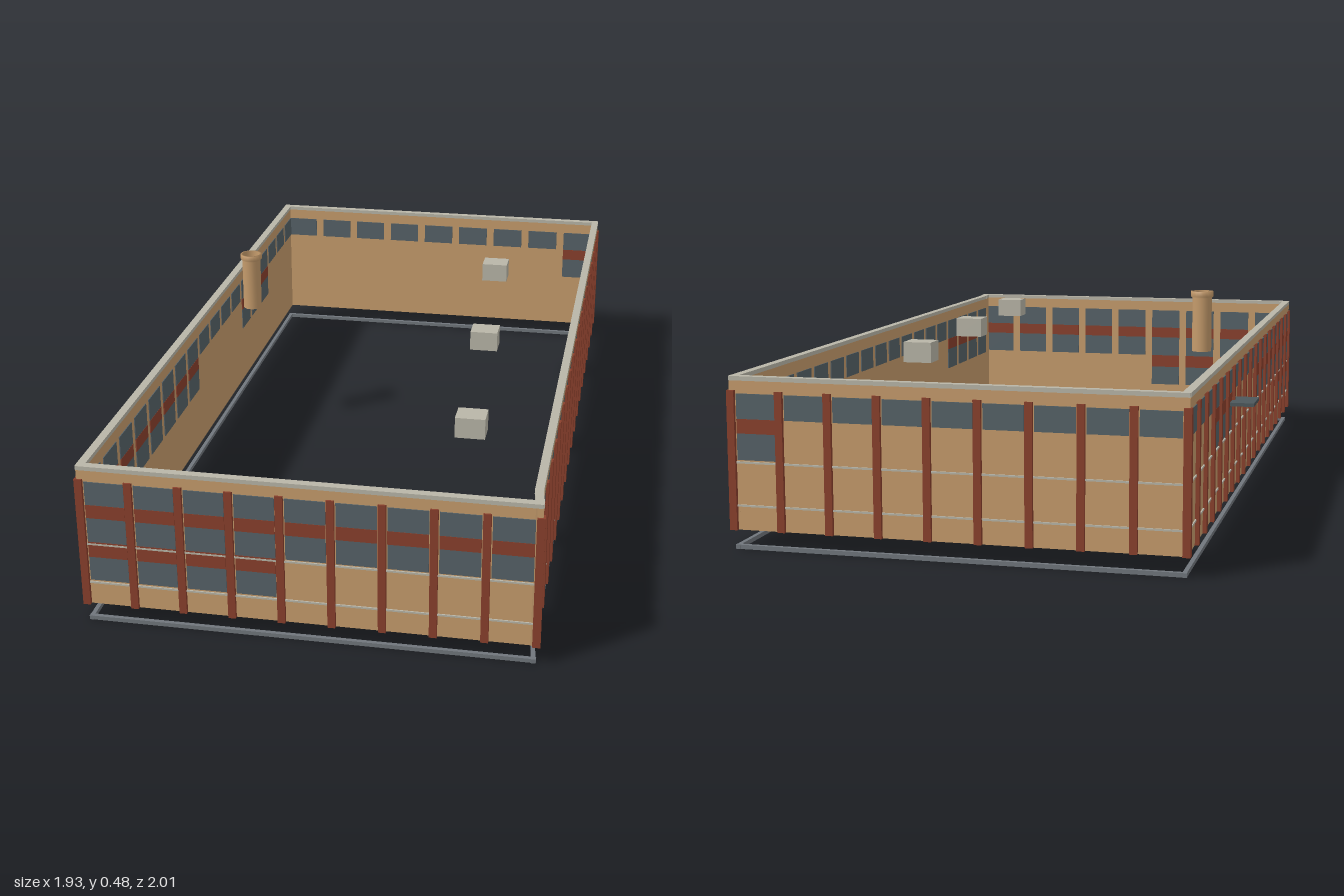
import * as THREE from 'three';

const mat = (name, color, side = THREE.FrontSide) => {
  const m = new THREE.MeshStandardMaterial({ color, side });
  m.name = name;
  return m;
};

export function createModel() {
  const brick = mat('tan brick', 0xc69c6c);
  const brickOpen = brick;
  brickOpen.side = THREE.DoubleSide;
  const red = mat('red panel', 0x8a402c);
  const glass = mat('slate glass', 0x566268);
  const stone = mat('light stone', 0xb9b6a8);
  const canopyGrey = mat('canopy grey', 0x4d585c);
  const footing = mat('footing grey', 0x70767c);

  const model = new THREE.Group();
  model.name = 'building';

  // Box given by its centre in x and z, and its bottom and top
  const box = (parent, name, material, w, y0, y1, d, x, z) => {
    const mesh = new THREE.Mesh(new THREE.BoxGeometry(w, y1 - y0, d), material);
    mesh.position.set(x, (y0 + y1) / 2, z);
    mesh.name = name;
    parent.add(mesh);
    return mesh;
  };

  // Window rows and the red spandrels between them, from the top down
  const rows = [[0.272, 0.324], [0.187, 0.242], [0.098, 0.152]];
  const T = 0.012; // wall thickness

  // One wall from a to b, seen from outside left to right.
  // Each digit in bays is the number of window rows in that bay.
  const wall = (name, a, b, bays) => {
    const dx = b[0] - a[0], dz = b[1] - a[1], L = Math.hypot(dx, dz);
    const g = new THREE.Group();
    g.name = name;
    g.position.set((a[0] + b[0]) / 2, 0, (a[1] + b[1]) / 2);
    g.rotation.y = Math.atan2(-dz, dx);
    model.add(g);

    box(g, 'wallPanel', brick, L, 0.041, 0.35, T, 0, -T / 2);
    box(g, 'fascia', brick, L + 0.006, 0.331, 0.351, 0.016, 0, -0.004);
    box(g, 'coping', stone, L + 0.006, 0.351, 0.36, 0.018, 0, -0.004);
    box(g, 'footingStrip', footing, L, 0, 0.009, 0.009, 0, -0.005);
    for (const y of [0.09, 0.18]) box(g, 'stringCourse', stone, L, y, y + 0.004, 0.003, 0, 0.0015);

    const w = L / bays.length;
    [...bays].forEach((digit, i) => {
      const x = -L / 2 + (i + 0.5) * w;
      for (let r = 0; r < +digit; r++) {
        box(g, 'window', glass, w * 0.8, rows[r][0], rows[r][1], T + 0.004, x, -T / 2);
        if (r > 0) box(g, 'spandrel', red, w * 0.8, rows[r][1], rows[r - 1][0], T + 0.005, x, -T / 2);
      }
    });
    for (let i = 0; i <= bays.length; i++) {
      box(g, 'pilaster', red, 0.016, 0.041, 0.331, 0.008, -L / 2 + i * w, 0.004);
    }
  };

  // Plan corners, with a slight kink near the right-hand corner
  const back = [-0.25, -0.993], right = [-0.955, -0.375];
  const front = [0.25, 0.993], left = [0.955, 0.375], kink = [0.912, 0.336];
  wall('longFrontWall', right, front, '111222111122222333');
  wall('shortFrontWall', front, left, '333322222');
  wall('cornerWall', left, kink, '0');
  wall('longBackWall', kink, back, '2222' + '1'.repeat(13) + '2');
  wall('shortBackWall', back, right, '211111111');

  // Rooftop units in a row parallel to each other
  const angle = Math.atan2(-1.368, 1.205);
  for (const [x, z] of [[-0.12, -0.475], [0.235, -0.12], [0.59, 0.235]]) {
    box(model, 'rooftopUnit', stone, 0.056, 0.335, 0.381, 0.065, x, z).rotation.y = angle;
  }

  // Open chimney with a flared rim
  const profile = [[0.023, 0.335], [0.023, 0.462], [0.027, 0.466], [0.027, 0.478], [0.022, 0.478], [0.021, 0.335]];
  const chimney = new THREE.Mesh(
    new THREE.LatheGeometry(profile.map(([r, y]) => new THREE.Vector2(r, y)), 20), brickOpen);
  chimney.position.set(-0.345, 0, 0.165);
  chimney.name = 'chimney';
  model.add(chimney);

  // Entrance canopy on the long front wall
  box(model, 'canopy', canopyGrey, 0.094, 0.245, 0.253, 0.054, -0.578, 0.098).rotation.y = angle;

  return model;
}
